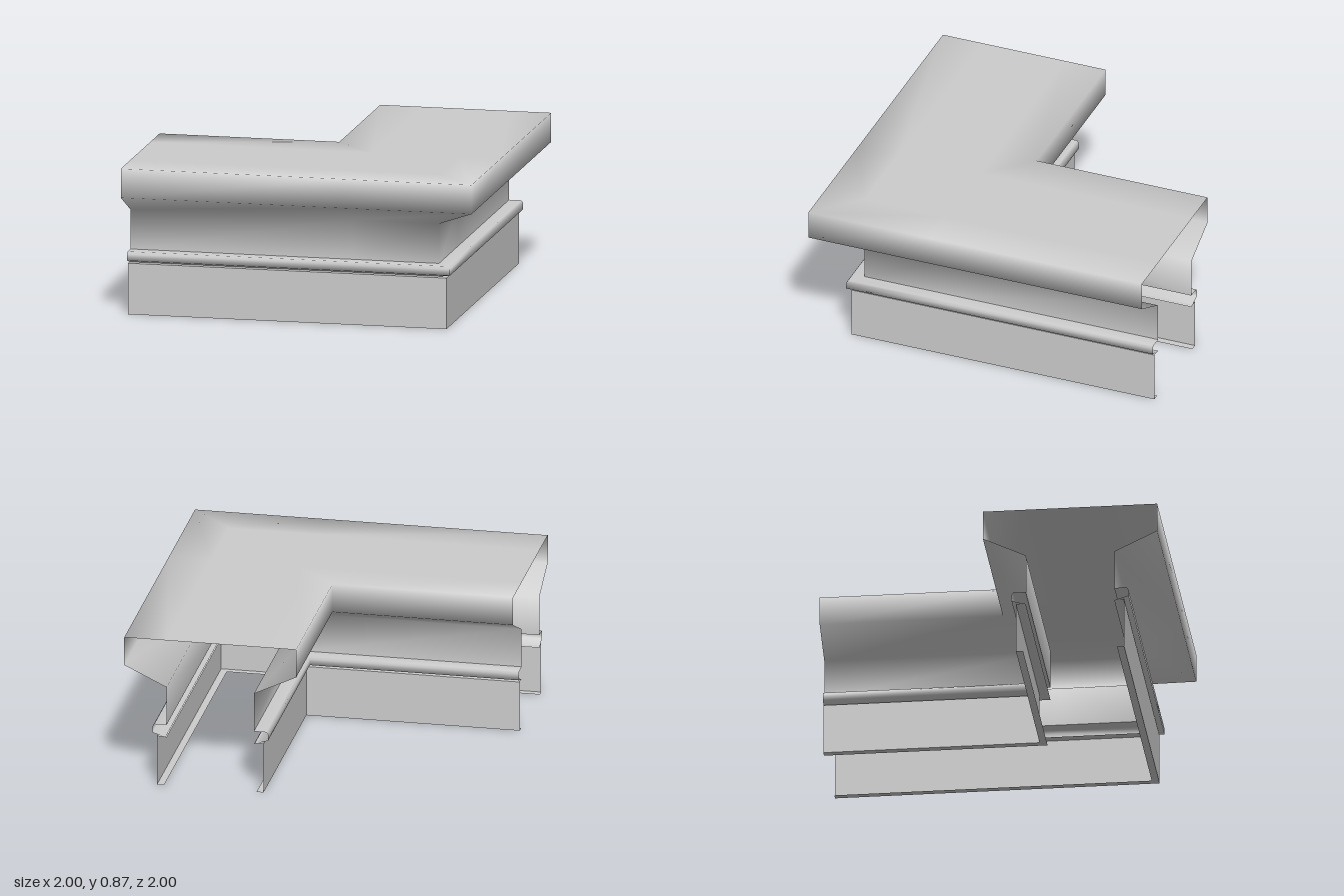
import * as THREE from 'three';

const material = new THREE.MeshStandardMaterial({ color: 0xcccccc, side: THREE.DoubleSide });
const INNER = 0.025, OUTER = 1, SPLIT = 0.265;

// Mirror a profile [offset, height] across the middle of the arm, for the inner side
const mirror = (profile) => profile.map(([s, y]) => [INNER + OUTER - s, y]).reverse();

// Sweep a profile along both arms of the L, mitred at the corner; the ends stay open
function sweep(name, profile, smooth) {
  const positions = [], index = [], n = profile.length;
  const stations = [
    (s) => [-1, s],
    (s) => [Math.min(s, SPLIT), s],
    (s) => [s, s],
    (s) => [s, Math.min(s, SPLIT)],
    (s) => [s, -1],
  ];
  for (const station of stations) {
    for (const [s, y] of profile) {
      const [x, z] = station(s);
      positions.push(x, y, z);
    }
  }
  for (let i = 0; i < stations.length - 1; i++) {
    for (let j = 0; j < n - 1; j++) {
      // Stations shrink to the corner on the inner side, so skip the empty strips
      const inside = profile[j][0] <= SPLIT && profile[j + 1][0] <= SPLIT;
      if (inside && (i === 1 || i === 2)) continue;
      const a = i * n + j, b = a + n;
      index.push(a, b, b + 1, a, b + 1, a + 1);
    }
  }
  // Weld the stations that coincide at the inner corner
  const weld = (v) => {
    const station = Math.floor(v / n), inside = profile[v % n][0] <= SPLIT;
    return inside && (station === 1 || station === 3) ? 2 * n + (v % n) : v;
  };
  let geometry = new THREE.BufferGeometry();
  geometry.setAttribute('position', new THREE.Float32BufferAttribute(positions, 3));
  geometry.setIndex(index.map(weld));
  if (!smooth) geometry = geometry.toNonIndexed();
  geometry.computeVertexNormals();
  const mesh = new THREE.Mesh(geometry, material);
  mesh.name = name;
  return mesh;
}

export function createModel() {
  const group = new THREE.Group();
  group.name = 'cornerMoulding';

  // Walls, flared cornice and flat top in one smooth shell
  const side = [[0.76, 0.36], [0.76, 0.585], [1, 0.7], [1, 0.865], [0.76, 0.865]];
  group.add(sweep('cornice', [...side, ...mirror(side)], true));

  // Narrow band below the walls, on both sides
  const band = [[0.76, 0.285], [0.84, 0.31], [0.84, 0.345], [0.83, 0.36], [0.76, 0.36]];
  group.add(sweep('outerBand', band, true), sweep('innerBand', mirror(band), true));

  // Plain base boards with small lips turned inwards
  const base = [[0.775, 0], [0.815, 0], [0.815, 0.29], [0.765, 0.29]];
  group.add(sweep('outerBase', base, false), sweep('innerBase', mirror(base), false));

  return group;
}
